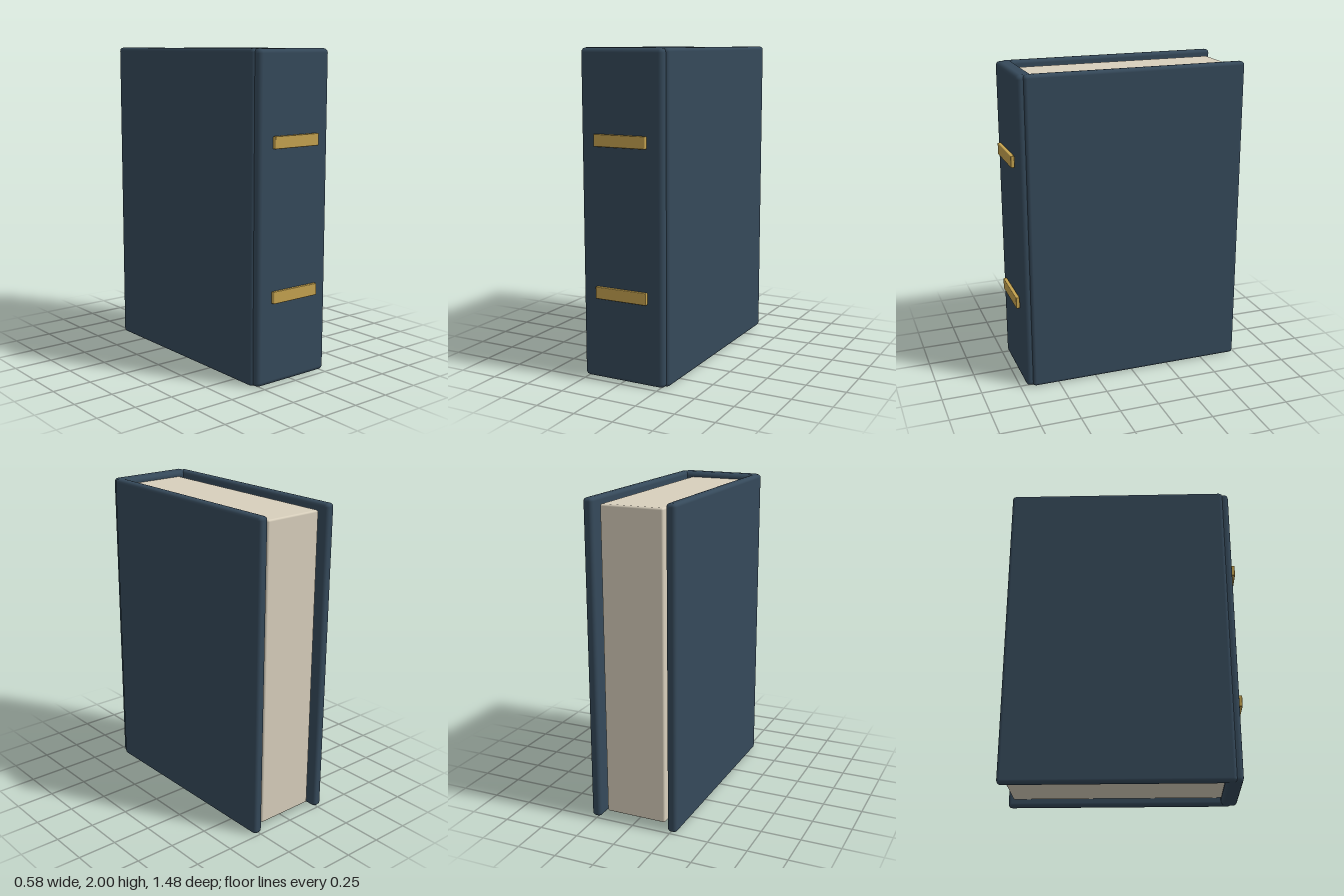
import * as THREE from 'three';
import { RoundedBoxGeometry } from 'three/addons/geometries/RoundedBoxGeometry.js';

const cloth = new THREE.MeshStandardMaterial({ color: 0x35495a });
const paper = new THREE.MeshStandardMaterial({ color: 0xd8cfbc });
const gold = new THREE.MeshStandardMaterial({ color: 0xc4a24f });

// Soft-edged box given by its [min, max] extent on each axis
function block(name, [x0, x1], [y0, y1], [z0, z1], radius, material) {
  const geometry = new RoundedBoxGeometry(x1 - x0, y1 - y0, z1 - z0, 2, radius);
  const mesh = new THREE.Mesh(geometry, material);
  mesh.position.set((x0 + x1) / 2, (y0 + y1) / 2, (z0 + z1) / 2);
  mesh.name = name;
  return mesh;
}

export function createModel() {
  const book = new THREE.Group();
  book.name = 'book';

  // Cover boards on both sides
  book.add(block('leftCover', [0.228, 0.29], [0, 2], [-0.738, 0.672], 0.022, cloth));
  book.add(block('rightCover', [-0.29, -0.228], [0, 2], [-0.738, 0.672], 0.022, cloth));

  // Spine joining the boards at the front
  book.add(block('spine', [-0.275, 0.275], [0, 2], [0.608, 0.711], 0.028, cloth));

  // Page block, slightly shorter than the covers
  book.add(block('pages', [-0.198, 0.198], [0.035, 1.965], [-0.702, 0.625], 0.012, paper));

  // Two raised bands across the spine
  for (const [name, y] of [['upperBand', 1.464], ['lowerBand', 0.544]]) {
    book.add(block(name, [-0.173, 0.173], [y - 0.037, y + 0.037], [0.714, 0.738], 0.005, gold));
  }

  return book;
}
